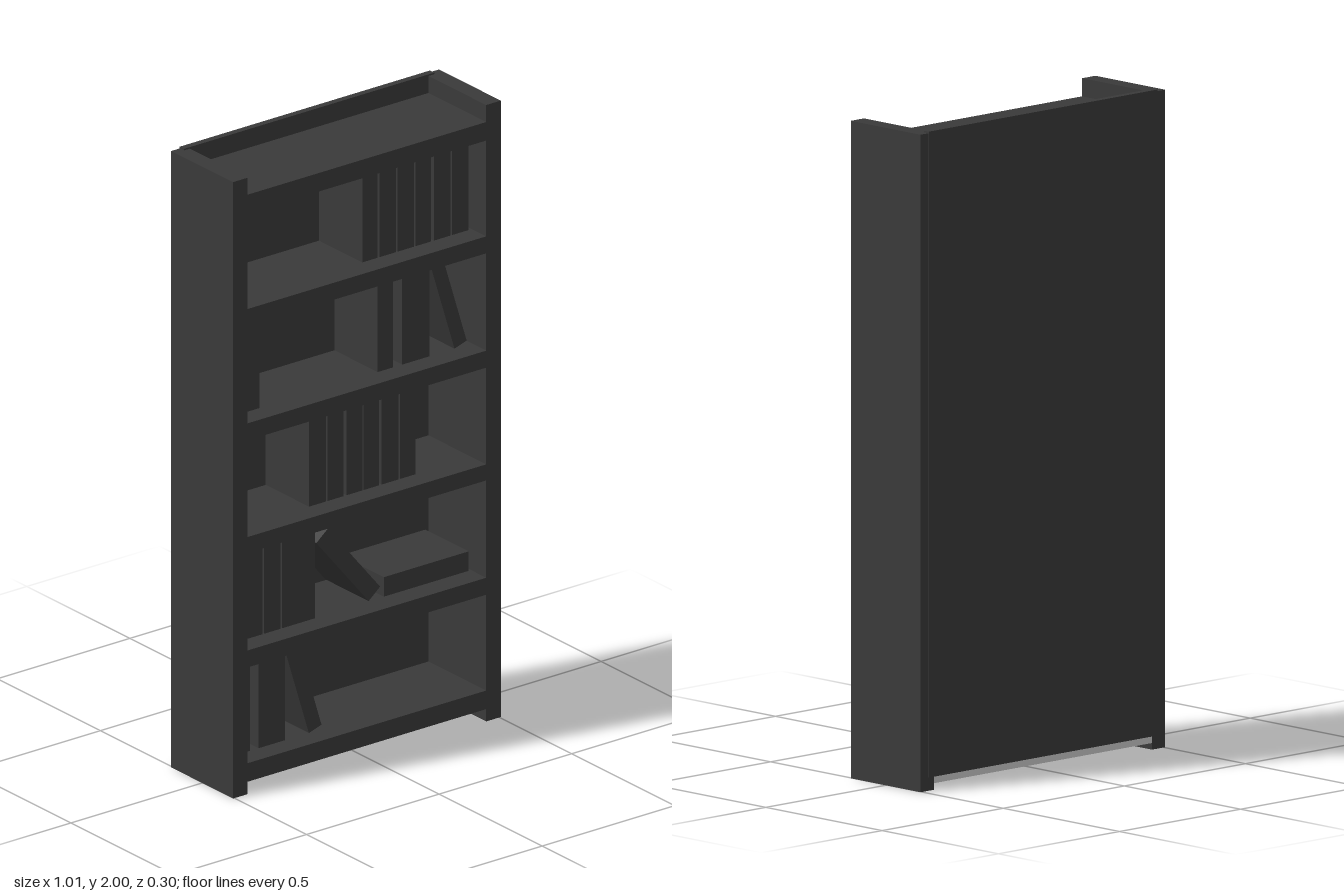
import * as THREE from 'three';

export function createModel() {
  const root = new THREE.Group();
  root.name = 'bookcase';
  const dark = new THREE.MeshStandardMaterial({ color: 0x3a3a3a });
  const grey = new THREE.MeshStandardMaterial({ color: 0xcccccc });

  // Box given by its minimum and maximum on each axis
  function box(name, [x0, x1], [y0, y1], [z0, z1], material = dark, parent = root) {
    const mesh = new THREE.Mesh(new THREE.BoxGeometry(x1 - x0, y1 - y0, z1 - z0), material);
    mesh.position.set((x0 + x1) / 2, (y0 + y1) / 2, (z0 + z1) / 2);
    mesh.name = name;
    parent.add(mesh);
    return mesh;
  }

  // Side panels, reaching the floor
  box('leftSide', [0.45, 0.505], [0, 1.995], [-0.15, 0.15]);
  box('rightSide', [-0.505, -0.45], [0, 1.995], [-0.15, 0.15]);

  // Back panel let into the sides, with a pale strip along its bottom
  box('backPanel', [-0.472, 0.472], [0.04, 2], [-0.151, -0.13]);
  box('bottomStrip', [-0.45, 0.45], [0.02, 0.04], [-0.15, -0.13], grey);

  // Shelves
  const shelves = [[0.04, 0.1], [0.41, 0.465], [0.78, 0.832], [1.145, 1.2], [1.515, 1.57], [1.88, 1.94]];
  for (const span of shelves) box('shelf', [-0.45, 0.45], span, [-0.13, 0.15]);

  // Upright books: x spans on each shelf, from the bottom up
  const rows = [
    [[-0.447, -0.386], [-0.355, -0.254]],
    [[-0.4, -0.34], [-0.333, -0.272], [-0.265, -0.142]],
    [[-0.164, -0.1], [-0.095, -0.034], [-0.022, 0.037], [0.042, 0.1], [0.11, 0.174], [0.18, 0.238]],
    [[-0.403, -0.35], [0.095, 0.153], [0.187, 0.29]],
    [[0.037, 0.095], [0.102, 0.164], [0.17, 0.232], [0.238, 0.296], [0.307, 0.37], [0.376, 0.438]],
  ];
  const bookDepth = [-0.13, 0.08];
  const books = new THREE.Group();
  books.name = 'books';
  root.add(books);
  rows.forEach((row, i) => {
    const y = shelves[i][1];
    for (const span of row) box('book', span, [y, y + 0.306], bookDepth, dark, books);
  });

  // Leaning books: centre x, centre y, thickness, height, tilt
  for (const [x, y, t, h, tilt] of [
    [-0.185, 0.25, 0.05, 0.3, 0.3],
    [-0.016, 0.605, 0.056, 0.31, 0.69],
    [0.362, 1.355, 0.048, 0.31, 0.3],
  ]) {
    const book = box('leaningBook', [x - t / 2, x + t / 2], [y - h / 2, y + h / 2], bookDepth, dark, books);
    book.rotation.z = tilt;
  }

  // Book lying flat
  box('lyingBook', [0.118, 0.438], [0.467, 0.53], bookDepth, dark, books);

  return root;
}
